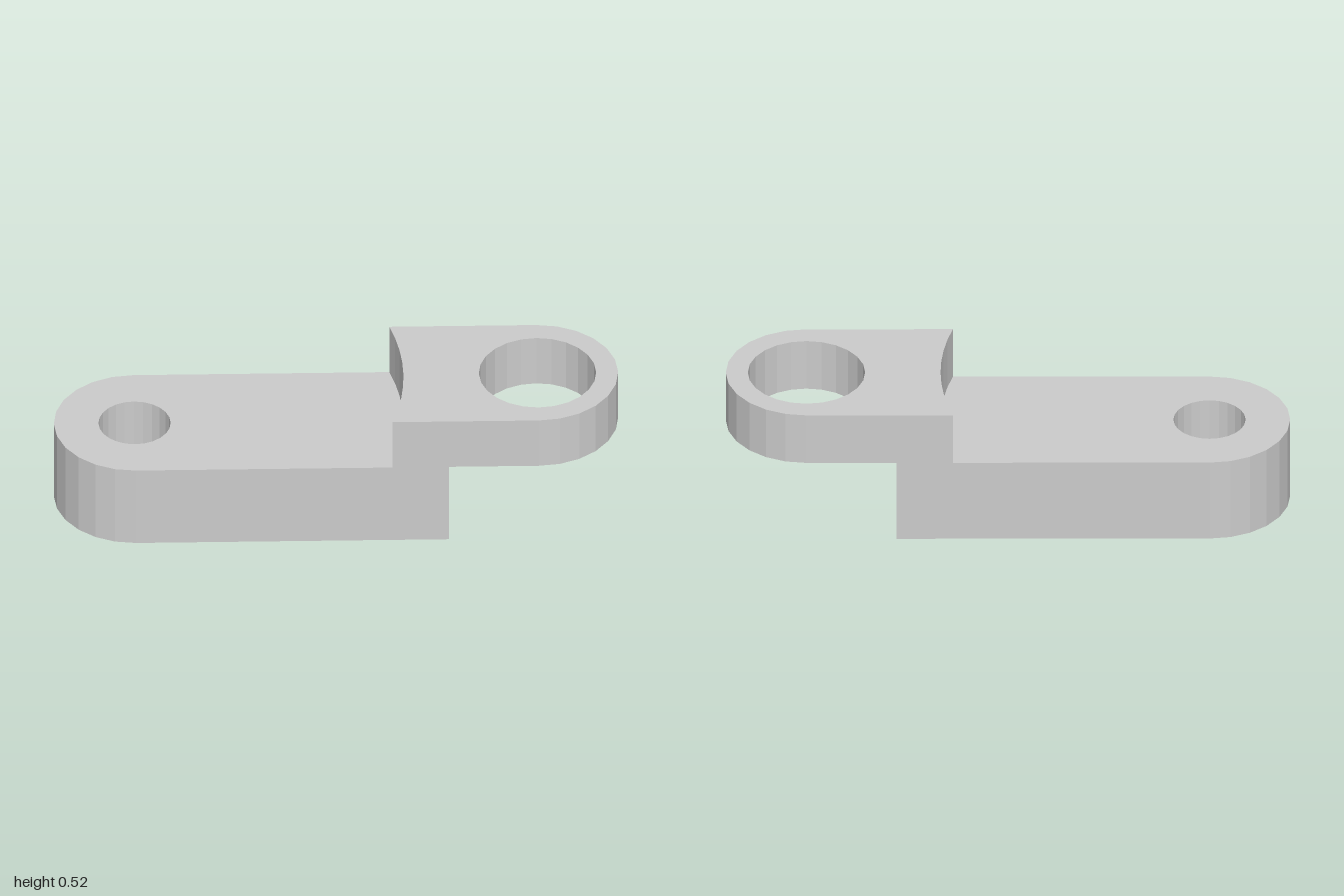
import * as THREE from 'three';

const HALF_WIDTH = 0.286;
const PIVOT = 0.714;       // distance of both hole centres from the middle
const STEP = 0.318;        // top of the thick arm
const TOP = 0.517;         // top of the raised lug

// Points on an arc about (cx, 0), angles in degrees
function arc(cx, radius, from, to, segments) {
  const points = [];
  for (let i = 0; i <= segments; i++) {
    const a = THREE.MathUtils.degToRad(from + ((to - from) * i) / segments);
    points.push(new THREE.Vector2(cx + radius * Math.cos(a), radius * Math.sin(a)));
  }
  return points;
}

// Flat plate with one round hole, lying between two heights
function plate(name, outline, holeX, holeRadius, bottom, top, material) {
  const shape = new THREE.Shape(outline);
  shape.holes.push(new THREE.Path(arc(holeX, holeRadius, 360, 15, 23)));
  const geometry = new THREE.ExtrudeGeometry(shape, { depth: top - bottom, bevelEnabled: false });
  geometry.rotateX(-Math.PI / 2);
  geometry.translate(0, bottom, 0);
  const mesh = new THREE.Mesh(geometry, material);
  mesh.name = name;
  return mesh;
}

export function createModel() {
  const group = new THREE.Group();
  group.name = 'steppedLink';
  const material = new THREE.MeshStandardMaterial({ color: 0xcccccc, flatShading: true });

  // Thick arm: round at the small hole, square at the step
  const armOutline = [
    new THREE.Vector2(0.395, -HALF_WIDTH),
    new THREE.Vector2(0.395, HALF_WIDTH),
    ...arc(-PIVOT, HALF_WIDTH, 90, 270, 12),
  ];
  group.add(plate('thickArm', armOutline, -PIVOT, 0.128, 0, STEP, material));

  // Raised lug: round at the large hole, its inner wall swept about the small hole
  const sweepRadius = 0.953;
  const sweep = THREE.MathUtils.radToDeg(Math.asin(HALF_WIDTH / sweepRadius));
  const lugOutline = [
    ...arc(PIVOT, HALF_WIDTH, -90, 90, 12),
    ...arc(-PIVOT, sweepRadius, sweep, -sweep, 8),
  ];
  group.add(plate('raisedLug', lugOutline, PIVOT, 0.208, STEP, TOP, material));

  return group;
}
